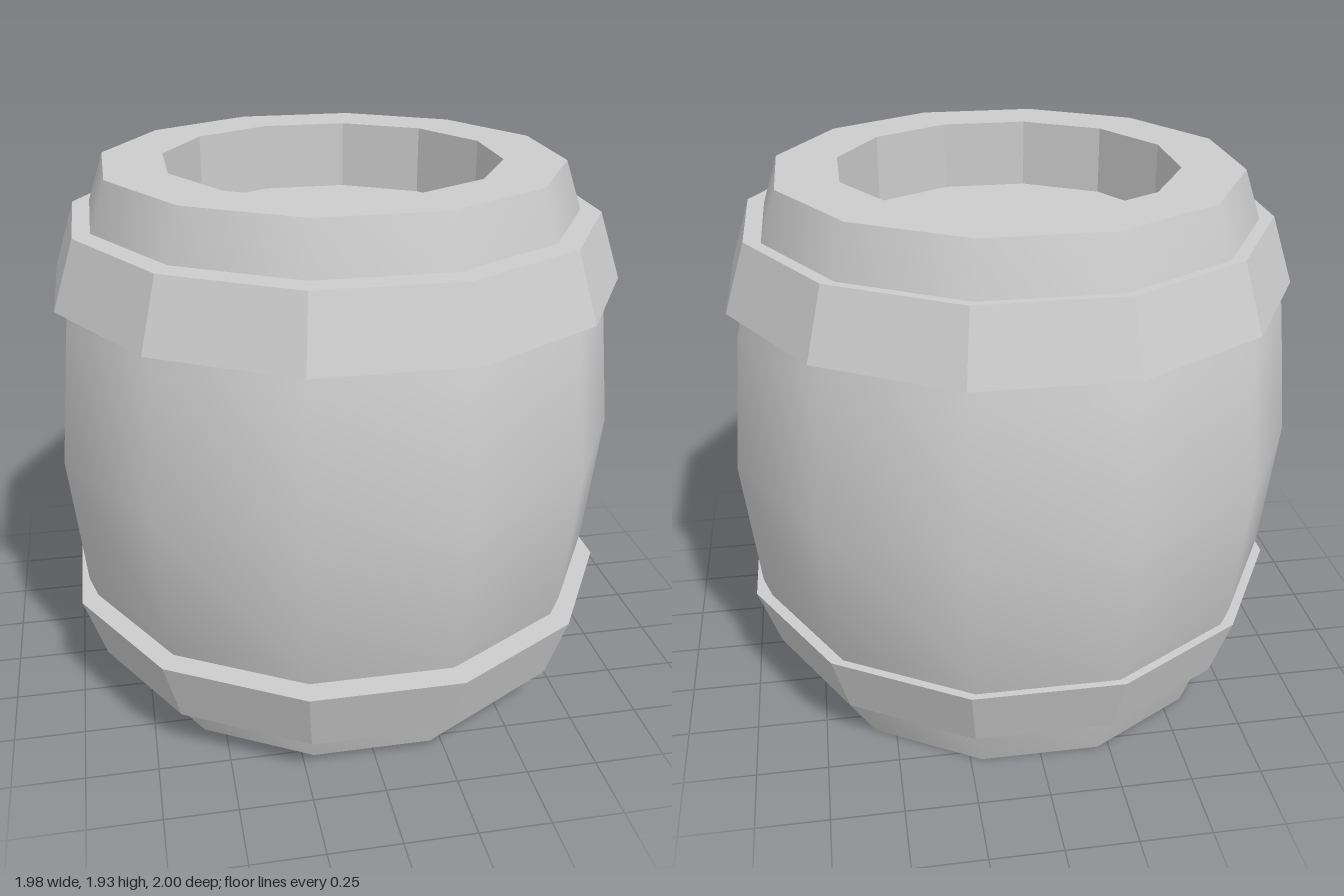
import * as THREE from 'three';

const SIDES = 12;
const HEIGHT = 1.935;
const APOTHEM = Math.cos(Math.PI / SIDES);
const smooth = new THREE.MeshStandardMaterial({ color: 0xcccccc });
const faceted = new THREE.MeshStandardMaterial({ color: 0xcccccc, flatShading: true });

// Twelve-sided lathe with flat sides facing the axes; profile is [face distance, y]
function ring(name, profile, material, z) {
  const points = profile.map(([d, y]) => new THREE.Vector2(d / APOTHEM, y));
  const geometry = new THREE.LatheGeometry(points, SIDES, Math.PI / SIDES);
  const mesh = new THREE.Mesh(geometry, material);
  mesh.name = name;
  mesh.position.z = z;
  return mesh;
}

export function createModel() {
  const barrel = new THREE.Group();
  barrel.name = 'barrel';
  const bodyZ = -0.007;
  const hoopZ = 0.025;

  // Bulging staves, smooth shaded
  barrel.add(ring('staves', [
    [0.785, 0], [0.944, 0.484], [0.992, HEIGHT / 2], [0.944, HEIGHT - 0.484], [0.785, HEIGHT],
  ], smooth, bodyZ));

  // Flat rims, recess walls and sunken heads at both ends
  const hole = 0.575, depth = 0.245;
  barrel.add(ring('bottomHead', [
    [0, depth], [hole, depth], [hole, 0], [0.785, 0],
  ], faceted, bodyZ));
  barrel.add(ring('topHead', [
    [0.785, HEIGHT], [hole, HEIGHT], [hole, HEIGHT - depth], [0, HEIGHT - depth],
  ], faceted, bodyZ));

  // Tapered hoops, mirrored about mid-height
  const hoop = [[0.78, 0.17], [0.9, 0.17], [0.976, 0.407], [0.78, 0.407], [0.78, 0.17]];
  barrel.add(ring('bottomHoop', hoop, faceted, hoopZ));
  const flipped = hoop.map(([d, y]) => [d, HEIGHT - y]).reverse();
  barrel.add(ring('topHoop', flipped, faceted, hoopZ));

  return barrel;
}
